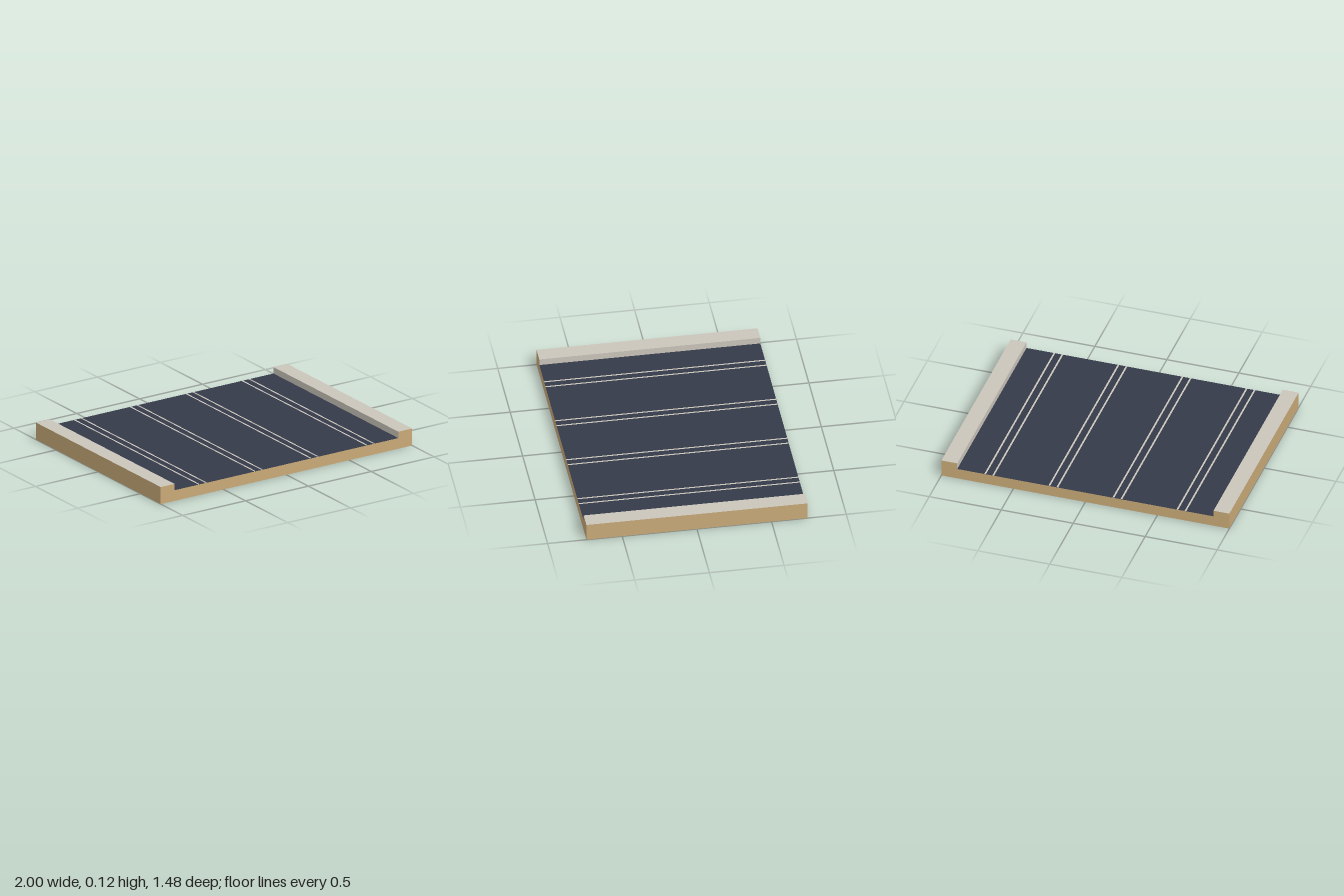
import * as THREE from 'three';

const WIDTH = 2, DEPTH = 1.48, ROAD_Y = 0.075, KERB_Y = 0.12, KERB_X = 0.89;

function makeMaterial(name, color) {
  const material = new THREE.MeshStandardMaterial({ color });
  material.name = name;
  return material;
}

// U-shaped slab, extruded front to back, with each face grouped by its role
function slabGeometry() {
  const w = WIDTH / 2;
  const profile = new THREE.Shape([
    [-w, 0], [w, 0], [w, KERB_Y], [KERB_X, KERB_Y],
    [KERB_X, ROAD_Y], [-KERB_X, ROAD_Y], [-KERB_X, KERB_Y], [-w, KERB_Y],
  ].map(([x, y]) => new THREE.Vector2(x, y)));
  const geometry = new THREE.ExtrudeGeometry(profile, { depth: DEPTH, bevelEnabled: false });
  geometry.translate(0, 0, -DEPTH / 2);

  const { position, normal } = geometry.attributes;
  geometry.clearGroups();
  for (let i = 0; i < position.count; i += 3) {
    const x = (position.getX(i) + position.getX(i + 1) + position.getX(i + 2)) / 3;
    const up = normal.getY(i) > 0.5;
    const inward = normal.getX(i) * x < -0.5;
    let role = 0; // earth sides and underside
    if (up && Math.abs(x) < KERB_X) role = 1; // road surface
    else if (up || inward) role = 2; // kerb top and inner face
    geometry.addGroup(i, 3, role);
  }
  return geometry;
}

export function createModel() {
  const model = new THREE.Group();
  model.name = 'roadTile';
  const earth = makeMaterial('earth', 0xc9aa78);
  const asphalt = makeMaterial('asphalt', 0x353a4a);
  const concrete = makeMaterial('concrete', 0xcbc5bb);

  const slab = new THREE.Mesh(slabGeometry(), [earth, asphalt, concrete]);
  slab.name = 'roadSlabWithKerbs';
  model.add(slab);

  // A pair of thin lines along the middle of each of the four lanes
  const lines = new THREE.Group();
  lines.name = 'laneLines';
  const lineGeometry = new THREE.PlaneGeometry(0.012, DEPTH).rotateX(-Math.PI / 2);
  const laneWidth = (2 * KERB_X) / 4;
  for (let lane = 0; lane < 4; lane++) {
    for (const side of [-1, 1]) {
      const line = new THREE.Mesh(lineGeometry, concrete);
      line.name = 'laneLine';
      line.position.set((lane - 1.5) * laneWidth + side * 0.028, ROAD_Y + 0.002, 0);
      lines.add(line);
    }
  }
  model.add(lines);
  return model;
}
